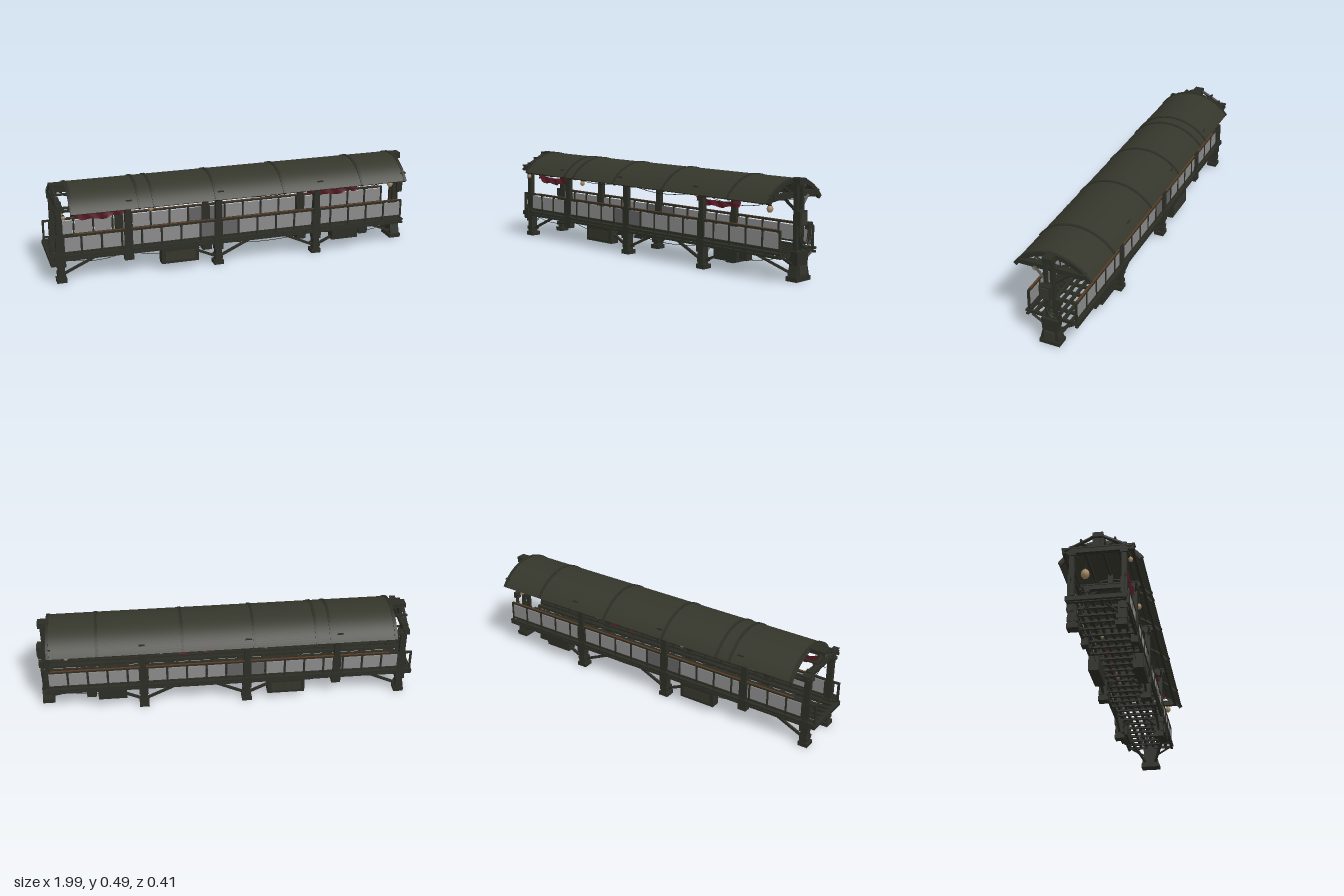
import * as THREE from 'three';
import { toCreasedNormals } from 'three/addons/utils/BufferGeometryUtils.js';

const mat = (name, color, side = THREE.FrontSide) => {
  const m = new THREE.MeshStandardMaterial({ color, side });
  m.name = name;
  return m;
};

export function createModel() {
  const root = new THREE.Group();
  root.name = 'coveredBridge';
  const M = {
    roof: mat('roofOlive', 0x35362b),
    frame: mat('frameDark', 0x2b2d25),
    panel: mat('panelGrey', 0x8a8a8a),
    dim: mat('panelDim', 0x626262),
    cloth: mat('clothRed', 0x571a24, THREE.DoubleSide),
    sand: mat('clothSand', 0x8a7358, THREE.DoubleSide),
    lamp: mat('lanternTan', 0xa98a66),
    rust: mat('railRust', 0x5a3a22),
    wire: mat('wireBlack', 0x1d1e1a),
  };
  const V = (x, y, z) => new THREE.Vector3(x, y, z);
  const add = (name, geo, m) => {
    const o = new THREE.Mesh(geo, m);
    o.name = name;
    root.add(o);
    return o;
  };
  // Box given by its limits on each axis
  const box = (name, x0, x1, y0, y1, z0, z1, m = M.frame) => {
    const o = add(name, new THREE.BoxGeometry(x1 - x0, y1 - y0, z1 - z0), m);
    o.position.set((x0 + x1) / 2, (y0 + y1) / 2, (z0 + z1) / 2);
    return o;
  };
  // Square bar between two points
  const bar = (name, a, b, w, m = M.frame) => {
    const d = b.clone().sub(a);
    const o = add(name, new THREE.BoxGeometry(d.length(), w, w), m);
    o.position.copy(a).add(b).multiplyScalar(0.5);
    o.quaternion.setFromUnitVectors(V(1, 0, 0), d.normalize());
    return o;
  };
  const pipe = (name, pts, r, m = M.frame, seg = 24) =>
    add(name, new THREE.TubeGeometry(new THREE.CatmullRomCurve3(pts), seg, r, 8), m);
  // Sagging wire
  const wire = (a, b, sag) => {
    const c = a.clone().add(b).multiplyScalar(0.5);
    c.y -= sag * 2;
    add('hangingWire', new THREE.TubeGeometry(new THREE.QuadraticBezierCurve3(a, c, b), 12, 0.0014, 4), M.wire);
  };

  // Barrel roof and its ribs: arc bands swept along x
  const arcBand = (name, ri, ro, x0, x1, m) => {
    const a = 0.625, s = new THREE.Shape();
    s.absarc(0, 0, ro, a, Math.PI - a, false);
    s.absarc(0, 0, ri, Math.PI - a, a, true);
    const g = new THREE.ExtrudeGeometry(s, { depth: x1 - x0, bevelEnabled: false, curveSegments: 20 });
    g.rotateY(Math.PI / 2);
    add(name, toCreasedNormals(g, 0.5), m).position.set(x0, 0.239, 0);
  };
  arcBand('roofShell', 0.236, 0.246, -0.88, 0.935, M.roof);
  for (const x of [-0.87, -0.53, -0.455, -0.13, 0.24, 0.68, 0.93]) {
    arcBand('roofRib', 0.228, 0.25, x - 0.007, x + 0.007, M.frame);
  }
  for (const z of [-0.155, -0.08, 0, 0.08, 0.155]) {
    const y = 0.239 + Math.sqrt(0.23 ** 2 - z * z);
    bar('roofPurlin', V(-0.95, y, z), V(0.93, y, z), 0.01);
  }

  // Deck: stringers, joists and edge beams, open in between
  for (const z of [-0.095, -0.055, -0.02, 0.02, 0.055, 0.095]) {
    box('deckStringer', -0.985, 0.95, 0.125, 0.14, z - 0.007, z + 0.007);
  }
  for (let i = 0; i <= 28; i++) {
    const x = -0.965 + i * 0.068;
    box('deckJoist', x - 0.007, x + 0.007, 0.118, 0.132, -0.135, 0.135);
  }
  for (const s of [-1, 1]) {
    box('deckEdgeUpper', -0.985, 0.96, 0.134, 0.145, s * 0.13 - 0.01, s * 0.13 + 0.01);
    box('deckEdgeLower', -0.985, 0.96, 0.117, 0.128, s * 0.13 - 0.007, s * 0.13 + 0.007);
  }

  // Railings with grey infill panels
  for (const s of [-1, 1]) {
    const z = s * 0.125;
    box('handrail', -0.98, 0.95, 0.243, 0.252, z - 0.006, z + 0.006);
    box('handrailRust', -0.86, 0.93, 0.252, 0.255, z - 0.005, z + 0.005, M.rust);
    box('lowerRail', -0.98, 0.95, 0.155, 0.162, z - 0.005, z + 0.005);
    for (let i = 0; i <= 18; i++) {
      const x = -0.925 + i * 0.104;
      box('railPost', x - 0.004, x + 0.004, 0.14, 0.246, z - 0.006, z + 0.006);
      if (i < 18) {
        const m = [7, 8].includes(i) ? M.dim : M.panel;
        box('railPanel', x + 0.006, x + 0.098, 0.164, 0.237, z - 0.003, z + 0.003, m);
      }
    }
    box('railEndPost', -0.985, -0.975, 0.125, 0.252, z - 0.006, z + 0.006);
  }

  // Side columns, legs and braces, mirrored front and back
  for (const s of [-1, 1]) {
    for (const x of [-0.93, -0.58, -0.1, 0.45]) {
      const top = x < -0.9 ? 0.43 : 0.4;
      const cz = s * 0.122;
      box('column', x - 0.016, x + 0.016, 0.1, top, cz - 0.012, cz + 0.012);
      box('columnCap', x - 0.023, x + 0.023, 0.375, 0.392, cz - 0.018, cz + 0.018);
      box('columnCollar', x - 0.022, x + 0.022, 0.165, 0.245, cz - 0.014, cz + 0.014);
      box('columnBase', x - 0.024, x + 0.024, 0.085, 0.15, cz - 0.017, cz + 0.017);
      for (const d of [-1, 1]) {
        if (x > -0.9) bar('eaveBrace', V(x, 0.35, cz), V(x + d * 0.045, 0.392, s * 0.135), 0.008);
      }
      if (x === -0.58) continue;
      box('foot', x - 0.026, x + 0.026, 0, 0.022, s * 0.111 - 0.027, s * 0.111 + 0.027);
      box('leg', x - 0.017, x + 0.017, 0.02, 0.12, s * 0.115 - 0.02, s * 0.115 + 0.02);
      box('legCollar', x - 0.021, x + 0.021, 0.035, 0.055, s * 0.112 - 0.025, s * 0.112 + 0.025);
      bar('crossBrace', V(x, 0.07, s * 0.1), V(x, 0.12, s * 0.04), 0.01);
      for (const d of [-1, 1]) {
        if (x > -0.9 || d > 0) bar('legBrace', V(x, 0.035, s * 0.112), V(x + d * 0.19, 0.122, s * 0.112), 0.012);
      }
    }
    bar('endBrace', V(0.94, 0.035, s * 0.03), V(0.76, 0.122, s * 0.1), 0.012);
    box('eaveBeam', -0.95, 0.93, 0.388, 0.4, s * 0.16 - 0.007, s * 0.16 + 0.007);
    // Equipment boxes slung under the deck
    box('underBoxLarge', -0.41, -0.21, 0.04, 0.118, s * 0.112 - 0.026, s * 0.112 + 0.026);
    box('underBoxLargeLid', -0.39, -0.23, 0.055, 0.105, s * 0.139 - 0.002, s * 0.139 + 0.002, M.roof);
    box('underBoxSmall', 0.54, 0.69, 0.065, 0.118, s * 0.11 - 0.026, s * 0.11 + 0.026);
    box('underBoxVent', 0.7, 0.75, 0.08, 0.118, s * 0.11 - 0.02, s * 0.11 + 0.02);
  }
  box('sideCabinet', -0.965, -0.93, 0.1, 0.165, 0.135, 0.147);

  // Cross frames carrying the roof
  for (const x of [-0.93, -0.58, -0.1, 0.45, 0.93]) {
    box('crossBeam', x - 0.012, x + 0.012, 0.393, 0.419, -0.168, 0.168);
    box('crossBeamFlange', x - 0.016, x + 0.016, 0.415, 0.421, -0.172, 0.172);
    box('kingPost', x - 0.01, x + 0.01, 0.415, 0.47, -0.012, 0.012);
    for (const s of [-1, 1]) bar('roofStrut', V(x, 0.415, s * 0.02), V(x, 0.448, s * 0.085), 0.008);
  }

  // Open left end: ridge block, arched rib ends and end rail
  box('ridgeBlockLeft', -0.955, -0.87, 0.465, 0.488, -0.025, 0.025);
  for (const s of [-1, 1]) {
    box('endPostLeft', -0.94, -0.92, 0.415, 0.47, s * 0.02 - 0.007, s * 0.02 + 0.007);
    bar('endRafterLeft', V(-0.94, 0.478, s * 0.01), V(-0.94, 0.405, s * 0.155), 0.012);
  }
  box('endBeamLeft', -0.99, -0.975, 0.12, 0.14, -0.14, 0.14);

  // Right end: flared pylon with twin masts
  const pylon = new THREE.Shape([[-0.052, 0.02], [0.052, 0.02], [0.038, 0.075], [0.043, 0.143], [-0.043, 0.143],
    [-0.038, 0.075]].map(([a, b]) => new THREE.Vector2(a, b)));
  const pylonGeo = new THREE.ExtrudeGeometry(pylon, { depth: 0.05, bevelEnabled: false });
  pylonGeo.rotateY(Math.PI / 2);
  add('endPylon', pylonGeo, M.frame).position.x = 0.935;
  box('endPylonFoot', 0.928, 0.992, 0, 0.022, -0.054, 0.054);
  box('endPylonHatch', 0.984, 0.992, 0.03, 0.075, -0.027, 0.027, M.roof);
  for (const s of [-1, 1]) {
    box('endMast', 0.945, 0.968, 0.14, 0.475, s * 0.02 - 0.007, s * 0.02 + 0.007);
    bar('mastBrace', V(0.95, 0.34, s * 0.022), V(0.94, 0.4, s * 0.09), 0.012);
    bar('deckBrace', V(0.95, 0.08, s * 0.04), V(0.95, 0.122, s * 0.11), 0.01);
  }
  box('ridgeBlockRight', 0.92, 0.98, 0.458, 0.489, -0.025, 0.025);
  box('controlBox', 0.965, 0.995, 0.265, 0.338, -0.018, 0.04);
  box('controlBoxDoor', 0.995, 1, 0.272, 0.331, -0.011, 0.033, M.roof);
  box('socketBox', 0.965, 0.99, 0.243, 0.277, -0.067, -0.038);
  pipe('conduitOuter', [V(0.978, 0.27, 0.013), V(0.978, 0.2, 0.013), V(0.978, 0.162, -0.012),
    V(0.978, 0.162, -0.045), V(0.978, 0.2, -0.062), V(0.978, 0.25, -0.055)], 0.006);
  pipe('conduitInner', [V(0.978, 0.27, 0), V(0.978, 0.21, 0), V(0.978, 0.18, -0.015),
    V(0.978, 0.18, -0.035), V(0.978, 0.21, -0.047), V(0.978, 0.25, -0.05)], 0.005);

  // Draped cloth under the eaves
  const drape = (x0, x1, yTop, h, sag, z, m) => {
    const w = x1 - x0, g = new THREE.PlaneGeometry(w, h, 20, 3), p = g.attributes.position;
    for (let i = 0; i < p.count; i++) {
      const u = (2 * p.getX(i)) / w;
      const v = p.getY(i) / h - 0.5;
      const fold = 0.85 + 0.15 * Math.sin(u * 9);
      p.setXYZ(i, p.getX(i), v * h * fold - sag * (1 - u * u), 0.008 * Math.sin(u * 12 + v * 3));
    }
    g.computeVertexNormals();
    add('drapedCloth', g, m).position.set((x0 + x1) / 2, yTop, z);
  };
  drape(-0.87, -0.59, 0.375, 0.042, 0.02, 0.115, M.cloth);
  drape(-0.01, 0.41, 0.37, 0.035, 0.02, -0.115, M.cloth);
  drape(0.4, 0.69, 0.365, 0.035, 0.014, 0.115, M.cloth);
  drape(0.26, 0.42, 0.355, 0.025, 0.012, -0.105, M.sand);

  // Paper lanterns
  const profile = [[0, -1], [0.5, -0.95], [0.85, -0.55], [1, 0], [0.85, 0.55], [0.5, 0.95], [0, 1]];
  for (const [x, y, z, r] of [[-0.83, 0.342, -0.08, 0.021], [-0.46, 0.35, 0.125, 0.013], [-0.2, 0.333, -0.11, 0.014],
    [0.2, 0.355, -0.125, 0.012], [0.88, 0.347, 0.12, 0.016], [-0.91, 0.355, 0.148, 0.011], [0.84, 0.358, -0.155, 0.013]]) {
    const pts = profile.map(([a, b]) => new THREE.Vector2(a * r, b * r * 1.1));
    add('lantern', new THREE.LatheGeometry(pts, 14), M.lamp).position.set(x, y, z);
    const cap = add('lanternCap', new THREE.CylinderGeometry(r * 0.5, r * 0.65, r * 0.3, 10), M.frame);
    cap.position.set(x, y + r * 1.05, z);
    bar('lanternCord', V(x, y + r, z), V(x, 0.4, z), 0.002, M.wire);
  }

  // Loose wiring under the eaves and below the deck
  const stops = [-0.93, -0.58, -0.1, 0.45, 0.93];
  for (let i = 0; i < 4; i++) {
    for (const s of [-1, 1]) {
      wire(V(stops[i], 0.39, s * 0.135), V(stops[i + 1], 0.39, s * 0.135), 0.025 + 0.006 * i);
      wire(V(stops[i], 0.12, s * 0.1), V(stops[i + 1], 0.12, s * 0.1), 0.03 + 0.01 * (i % 2));
    }
    wire(V(stops[i], 0.395, -0.13), V(stops[i], 0.395, 0.02), 0.03);
    wire(V(stops[i], 0.395, 0.02), V(stops[i], 0.395, 0.13), 0.04);
  }
  return root;
}
